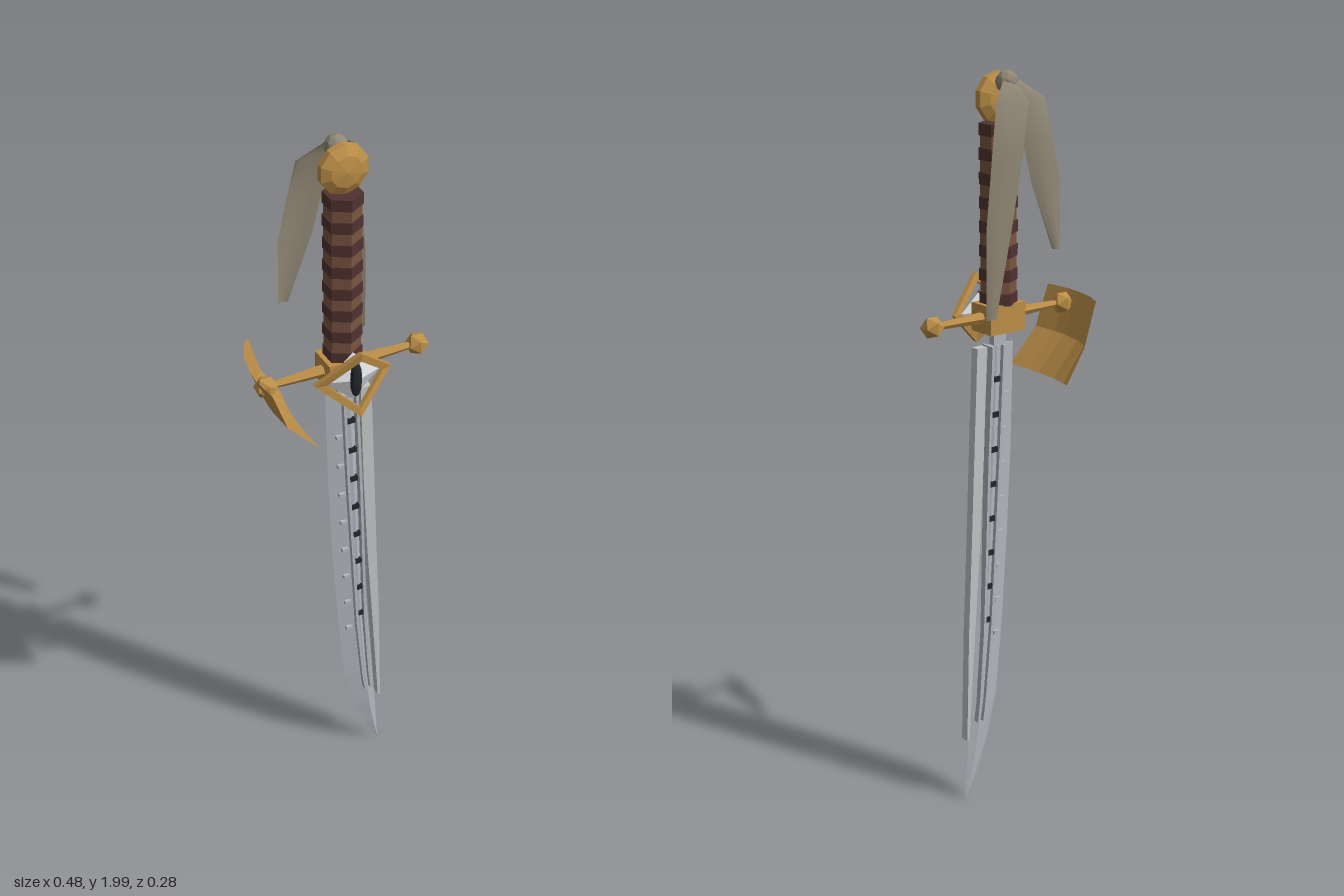
import * as THREE from 'three';

const AXIS = 0.033; // depth of the sword's centre plane

// Skin through equal-length rows of points; closed rows get end caps
function loft(rows, { closed = true, caps = true, smooth = false } = {}) {
  const n = rows[0].length, idx = [];
  const steps = closed ? n : n - 1;
  for (let i = 0; i < rows.length - 1; i++) {
    for (let j = 0; j < steps; j++) {
      const k = (j + 1) % n;
      const a = i * n + j, b = i * n + k, c = b + n, d = a + n;
      idx.push(a, b, c, a, c, d);
    }
  }
  if (closed && caps) {
    const t = (rows.length - 1) * n;
    for (let j = 1; j < n - 1; j++) idx.push(0, j + 1, j, t, t + j, t + j + 1);
  }
  let g = new THREE.BufferGeometry();
  g.setAttribute('position', new THREE.Float32BufferAttribute(rows.flat(2), 3));
  g.setIndex(idx);
  if (!smooth) g = g.toNonIndexed();
  g.computeVertexNormals();
  return g;
}

// Piecewise linear lookup in [y, value] pairs of rising y
function along(table, y) {
  for (let i = 1; i < table.length; i++) {
    const [y0, v0] = table[i - 1], [y1, v1] = table[i];
    if (y <= y1) return v0 + (v1 - v0) * (y - y0) / (y1 - y0);
  }
  return table[table.length - 1][1];
}

export function createModel() {
  const group = new THREE.Group();
  const mat = (name, color, side = THREE.FrontSide) => {
    const m = new THREE.MeshStandardMaterial({ color, side });
    m.name = name;
    return m;
  };
  const steel = mat('steel', 0xb2b6bd);
  const paleSteel = mat('pale steel', 0xc2c4c6);
  const silver = mat('silver', 0xdadcde);
  const black = mat('black', 0x23252c);
  const gold = mat('gold', 0xbd8f48, THREE.DoubleSide);
  const leather = mat('brown leather', 0x7a5440);
  const darkLeather = mat('dark leather', 0x50322f);
  const cloth = mat('cloth', 0x8f8674, THREE.DoubleSide);

  const add = (name, geo, material, x = 0, y = 0, z = 0) => {
    const m = new THREE.Mesh(geo, material);
    m.name = name;
    m.position.set(x, y, z);
    group.add(m);
    return m;
  };
  const flat = (geo) => {
    const g = geo.index ? geo.toNonIndexed() : geo;
    g.computeVertexNormals();
    return g;
  };

  // Blade: curved, with a diamond section: y, left edge, right edge
  const edges = [
    [0.01, 0.114, 0.117], [0.08, 0.078, 0.112], [0.17, 0.043, 0.106], [0.3, 0.009, 0.095],
    [0.5, -0.011, 0.079], [0.75, -0.029, 0.062], [1.0, -0.042, 0.047], [1.29, -0.05, 0.036],
  ];
  const ridge = [[0.01, 0.116], [0.08, 0.1], [0.17, 0.084], [0.3, 0.067], [0.5, 0.05], [0.75, 0.038], [1.0, 0.026], [1.29, 0.012]];
  add('blade', loft(edges.map(([y, l, r], i) => {
    const c = ridge[i][1], t = i === 0 ? 0.001 : Math.min(0.013, 0.003 + y * 0.04);
    return [[l, y, AXIS], [c, y, AXIS + t], [r, y, AXIS], [c, y, AXIS - t]];
  })), steel);

  // Raised rails on both sides of the fuller
  const bar = (rows, half) => loft(rows.map(([y, l, r]) => [
    [l, y, AXIS + half], [r, y, AXIS + half], [r, y, AXIS - half], [l, y, AXIS - half],
  ]));
  for (const side of [-1, 1]) {
    const rows = [0.24, 0.3, 0.5, 0.75, 1.0, 1.29].map((y) => {
      const c = along(ridge, y) + side * (0.006 + 0.012 * Math.min(1, y));
      return [y, c - 0.004, c + 0.004];
    });
    add('fullerRail', bar(rows, 0.022), steel);
  }

  // Separate strip behind the blade's right edge
  add('edgeStrip', bar([
    [0.19, 0.11, 0.117], [0.5, 0.088, 0.109], [0.75, 0.07, 0.098], [1.0, 0.056, 0.088], [1.29, 0.045, 0.076],
  ], 0.012), paleSteel);

  // Dark slots in the fuller, and small pegs beside them
  for (let i = 0; i < 8; i++) {
    const y = 1.2 - i * 0.0955, c = along(ridge, y);
    add('fullerSlot', new THREE.BoxGeometry(0.022, 0.014, 0.036), black, c, y, AXIS);
    add('bladePeg', new THREE.BoxGeometry(0.018, 0.01, 0.03), steel, c - 0.032, y - 0.045, AXIS);
  }
  add('tang', new THREE.BoxGeometry(0.04, 0.08, 0.018), steel, 0, 1.31, AXIS);

  // Crossguard: block, tapering arms and faceted end knobs
  add('guardBlock', new THREE.BoxGeometry(0.112, 0.075, 0.082), gold, 0, 1.365, 0.03);
  for (const side of [-1, 1]) {
    const arm = add('guardArm', flat(new THREE.CylinderGeometry(0.009, 0.018, 0.2, 6)), gold, side * 0.1, 1.368, 0.03);
    arm.rotation.z = -side * Math.PI / 2;
    add('guardKnob', flat(new THREE.IcosahedronGeometry(0.031, 0)), gold, side * 0.213, 1.368, 0.03);
  }

  // Diamond frame, folded along its centre line
  const corners = [[0.107, 0, 0.09], [0, 0.095, 0.137], [-0.107, 0, 0.09], [0, -0.095, 0.137]];
  const frameRows = [...corners, corners[0]].map(([x, y, z]) => {
    const inner = [x * 0.74, 1.37 + y * 0.74], outer = [x, 1.37 + y];
    const zi = z + (x ? 0.008 : -0.004);
    return [[...inner, zi], [...outer, z], [...outer, z - 0.014], [...inner, zi - 0.014]];
  });
  add('eyeFrame', loft(frameRows, { caps: false }), gold);

  // Eye: faceted silver gem with a slit pupil
  const gem = flat(new THREE.OctahedronGeometry(1, 0).scale(0.078, 0.07, 0.026));
  add('eyeGem', gem, silver, 0, 1.37, 0.086);
  const pupil = flat(new THREE.SphereGeometry(1, 8, 6).scale(0.017, 0.052, 0.013));
  add('pupil', pupil, black, 0, 1.37, 0.105);

  // Curved side plate hanging from the right arm
  const plateZ = [
    [-0.142, -0.18, -0.146, -0.088], [-0.12, -0.203, -0.164, -0.095], [-0.07, -0.226, -0.182, -0.104],
    [0, -0.24, -0.196, -0.11], [0.04, -0.243, -0.198, -0.11], [0.115, -0.235, -0.194, -0.107],
  ];
  add('sidePlate', loft(plateZ.map(([z, top, mid, low]) => [
    [top, 1.4, z], [mid, 1.29, z], [low, 1.2, z],
  ]), { closed: false }), gold);

  // Grip: six-sided, wrapped in alternating bands
  const bands = 15, gripLow = 1.4, bandH = (1.865 - gripLow) / bands;
  for (let i = 0; i < bands; i++) {
    const r = i % 2 ? 0.047 : 0.05;
    const g = flat(new THREE.CylinderGeometry(r, r, bandH, 6));
    add('gripBand', g, i % 2 ? leather : darkLeather, 0, gripLow + (i + 0.5) * bandH, 0.03);
  }

  // Pommel: faceted disc facing forward
  const disc = new THREE.LatheGeometry(
    [[0, -0.028], [0.042, -0.022], [0.066, -0.009], [0.066, 0.009], [0.042, 0.022], [0, 0.028]]
      .map(([x, y]) => new THREE.Vector2(x, y)), 10);
  const pommel = add('pommel', flat(disc), gold, 0, 1.928, 0.032);
  pommel.rotation.x = Math.PI / 2;

  // Cloth knot and its two hanging tails: y, left, right, depth
  add('clothKnot', flat(new THREE.IcosahedronGeometry(0.03, 1)), cloth, 0, 1.97, -0.005);
  const tails = {
    longTail: [[1.39, 0.085, 0.117, -0.07], [1.62, 0.035, 0.117, -0.071], [1.8, 0.0, 0.098, -0.07],
      [1.93, -0.022, 0.08, -0.064], [1.975, -0.012, 0.025, -0.02]],
    shortTail: [[1.54, -0.136, -0.11, -0.052], [1.72, -0.133, -0.04, -0.053], [1.83, -0.108, -0.012, -0.053],
      [1.93, -0.086, 0.005, -0.047], [1.975, -0.025, 0.012, -0.02]],
  };
  for (const [name, rows] of Object.entries(tails)) {
    const sheet = rows.map(([y, l, r, z]) => [0, 0.25, 0.5, 0.75, 1].map((t) =>
      [l + (r - l) * t, y, z - 0.008 * Math.sin(Math.PI * t)]));
    add(name, loft(sheet, { closed: false, smooth: true }), cloth);
  }
  return group;
}
